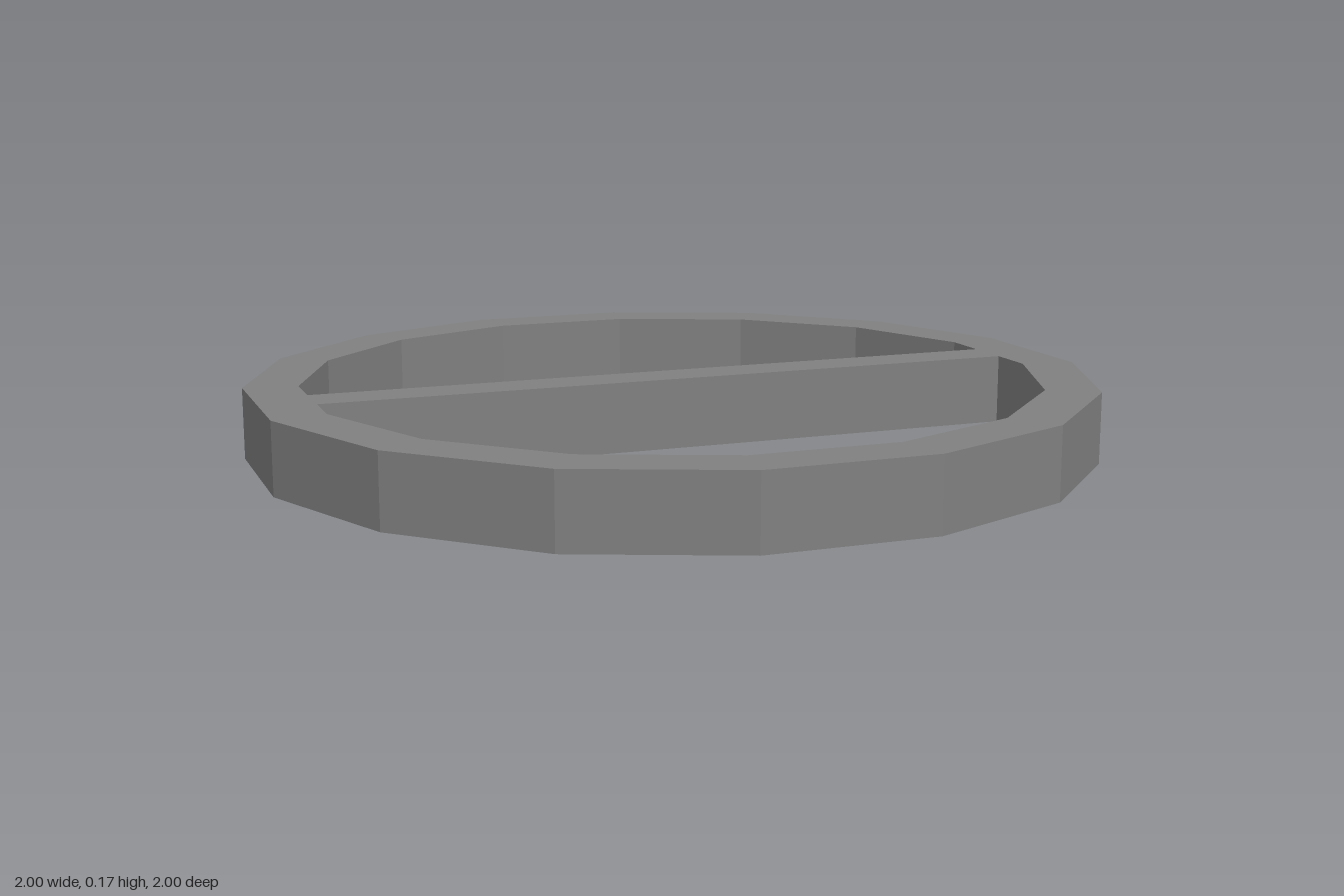
import * as THREE from 'three';

const SIDES = 16;
const HEIGHT = 0.17;
const INNER = 0.873; // centre to the flat of an inner side
const BAR_HALF = 0.057;

// Corners of a regular polygon with flats facing the axes
function corners(apothem, count) {
  const radius = apothem / Math.cos(Math.PI / SIDES);
  return Array.from({ length: count }, (_, i) => {
    const a = ((i + 0.5) / SIDES) * Math.PI * 2;
    return new THREE.Vector2(radius * Math.cos(a), radius * Math.sin(a));
  });
}

export function createModel() {
  const group = new THREE.Group();
  group.name = 'barredRing';

  // Outer outline with one half-round opening on each side of the bar
  const outline = new THREE.Shape(corners(1, SIDES));
  for (const side of [1, -1]) {
    const opening = [
      new THREE.Vector2(INNER, BAR_HALF),
      ...corners(INNER, SIDES / 2),
      new THREE.Vector2(-INNER, BAR_HALF),
    ].map((p) => new THREE.Vector2(p.x, p.y * side));
    outline.holes.push(new THREE.Path(opening));
  }

  const geometry = new THREE.ExtrudeGeometry(outline, { depth: HEIGHT, bevelEnabled: false });
  geometry.rotateX(-Math.PI / 2);

  // Ring and crossbar are one solid, flush at top and bottom
  const ring = new THREE.Mesh(
    geometry,
    new THREE.MeshStandardMaterial({ color: 0x808080, flatShading: true })
  );
  ring.name = 'ringWithCrossbar';
  group.add(ring);
  return group;
}
